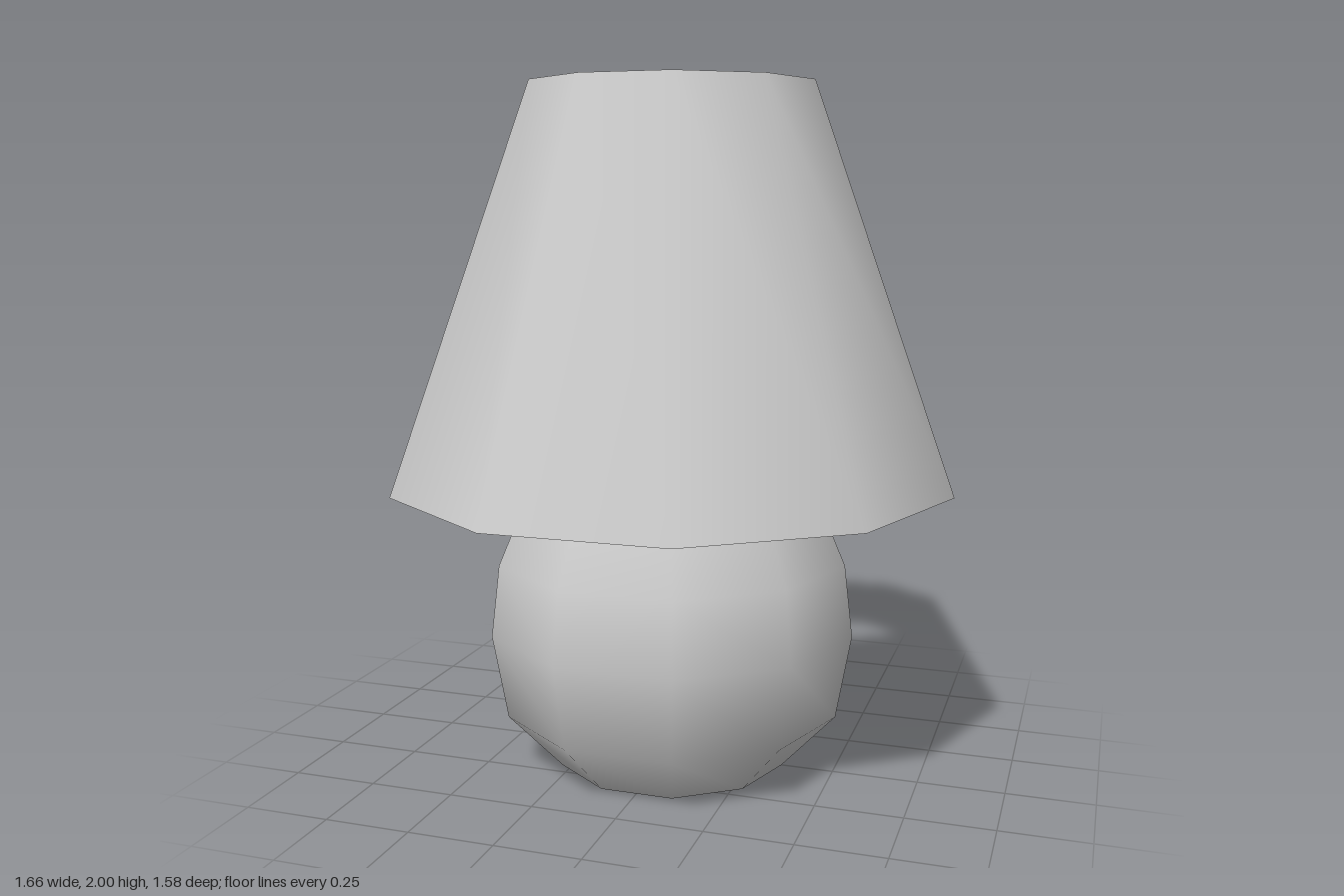
import * as THREE from 'three';
import { mergeGeometries } from 'three/addons/utils/BufferGeometryUtils.js';

const SIDES = 10;
const material = new THREE.MeshStandardMaterial({ color: 0xcccccc });

// Revolves each profile section on its own: smooth within a section, sharp between sections.
function turned(name, sections) {
  const parts = sections.map((section) => new THREE.LatheGeometry(
    section.map(([r, y]) => new THREE.Vector2(r, y)), SIDES, Math.PI / 2));
  const mesh = new THREE.Mesh(mergeGeometries(parts), material);
  mesh.name = name;
  return mesh;
}

export function createModel() {
  const lamp = new THREE.Group();
  lamp.name = 'tableLamp';

  // Rounded body with a flat foot
  lamp.add(turned('base', [
    [[0, 0], [0.345, 0]],
    [[0.345, 0], [0.505, 0.17], [0.55, 0.42], [0.525, 0.63], [0.39, 0.94], [0.255, 1.06]],
  ]));

  // Upright neck, narrowing to a flat top
  lamp.add(turned('neck', [
    [[0.255, 1.06], [0.255, 1.3]],
    [[0.255, 1.3], [0.18, 1.4]],
    [[0.18, 1.4], [0, 1.4]],
  ]));

  // Thin conical shade, open at both ends: outside, top rim, inside, bottom rim
  const outerBottom = [0.83, 0.85], outerTop = [0.415, 2];
  const innerBottom = [0.813, 0.85], innerTop = [0.404, 2];
  lamp.add(turned('shade', [
    [outerBottom, outerTop],
    [outerTop, innerTop],
    [innerTop, innerBottom],
    [innerBottom, outerBottom],
  ]));

  return lamp;
}
